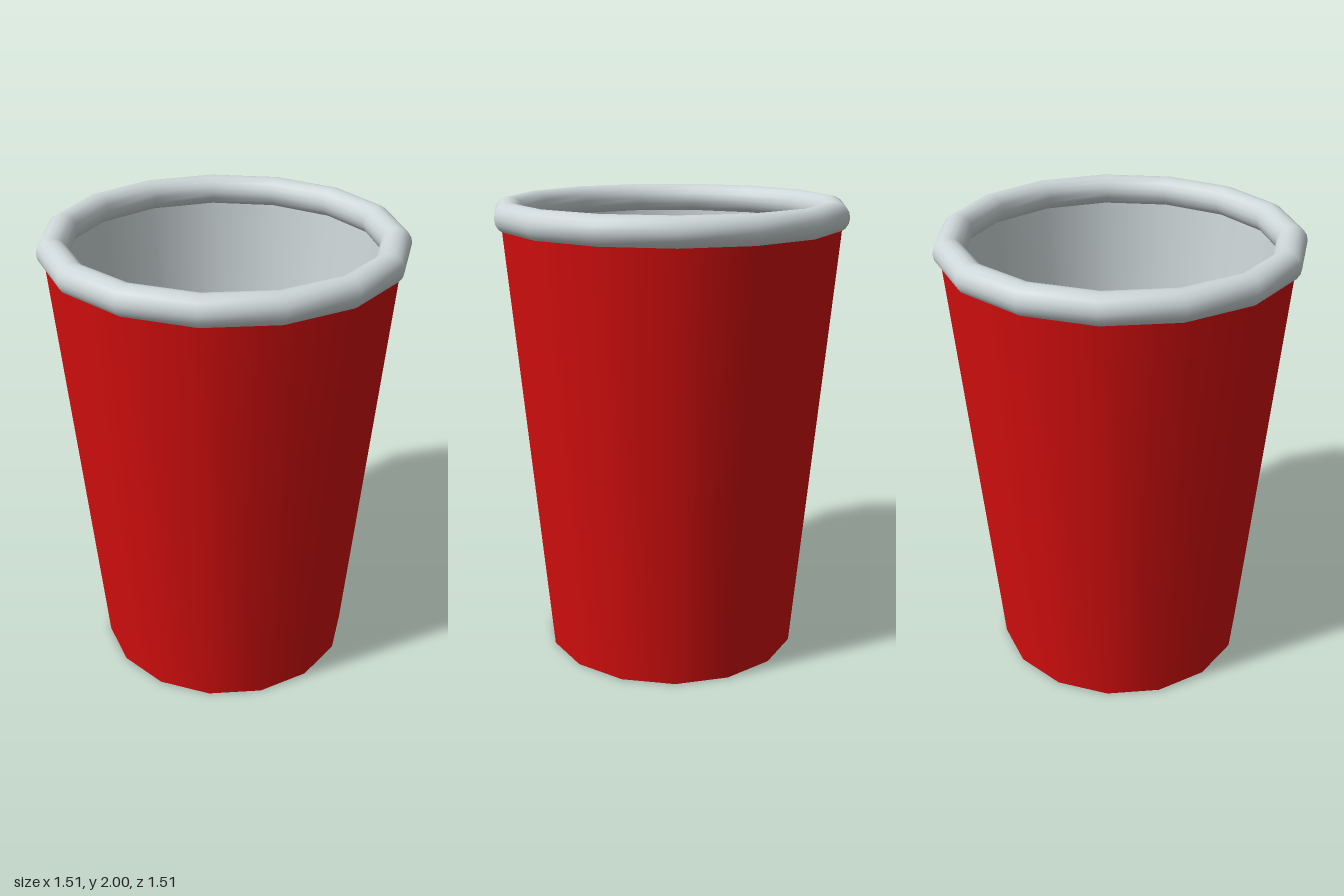
import * as THREE from 'three';

const SIDES = 15;

export function createModel() {
  const red = new THREE.MeshStandardMaterial({ color: 0xd50e0e });
  red.name = 'red';
  const paleGrey = new THREE.MeshStandardMaterial({ color: 0xcdd6d8 });
  paleGrey.name = 'paleGrey';

  const cup = new THREE.Group();
  cup.name = 'cup';
  const add = (name, geometry, material, y = 0) => {
    const mesh = new THREE.Mesh(geometry, material);
    mesh.name = name;
    // The odd number of sides puts the axis slightly off the middle in x
    mesh.position.set(-0.008, y, 0);
    cup.add(mesh);
  };

  // Tapered wall: a rising profile faces outward, a falling one inward
  const wall = (r0, y0, r1, y1) => new THREE.LatheGeometry(
    [new THREE.Vector2(r0, y0), new THREE.Vector2(r1, y1)], SIDES, Math.PI / 2);
  const disc = (radius, facing) =>
    new THREE.CircleGeometry(radius, SIDES).rotateX(-facing * Math.PI / 2);

  // Red outer shell
  add('outerWall', wall(0.564, 0, 0.735, 1.937), red);
  add('base', disc(0.564, -1), red);

  // Pale lining
  add('innerWall', wall(0.68, 1.937, 0.513, 0.05), paleGrey);
  add('innerFloor', disc(0.513, 1), paleGrey, 0.05);

  // Rolled rim
  add('rim', new THREE.TorusGeometry(0.698, 0.0635, 16, SIDES).rotateX(Math.PI / 2), paleGrey, 1.9365);

  return cup;
}
